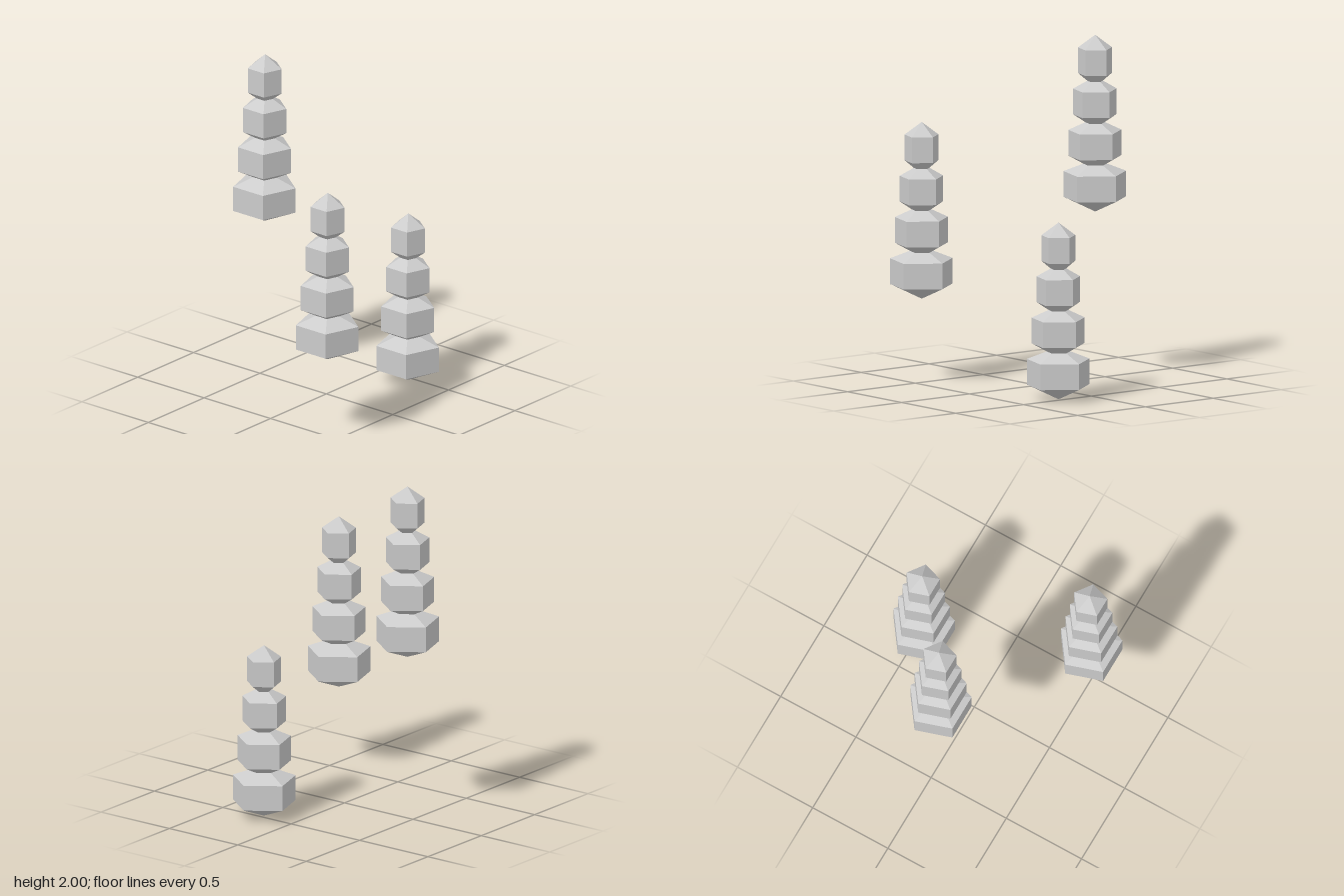
import * as THREE from 'three';

export function createModel() {
  const model = new THREE.Group();
  const stone = new THREE.MeshStandardMaterial({ color: 0xcccccc, flatShading: true });
  stone.name = 'paleGrey';

  const SIDES = 5, CAP = 0.078, WALL = 0.15, STEP = 0.242;
  const radii = [0.19, 0.161, 0.132, 0.103];

  // One tier: a five-sided prism with a point above and below, one corner facing +x
  const tierGeometries = radii.map((r) => {
    const profile = [[0, 0], [r, CAP], [r, CAP + WALL], [0, 2 * CAP + WALL]];
    return new THREE.LatheGeometry(
      profile.map(([x, y]) => new THREE.Vector2(x, y)), SIDES, Math.PI / 2);
  });

  // A spire stacks shrinking tiers whose points sink into each other
  function makeSpire(name, x, y, z) {
    const spire = new THREE.Group();
    spire.name = name;
    tierGeometries.forEach((geometry, i) => {
      const tier = new THREE.Mesh(geometry, stone);
      tier.name = `tier${i + 1}`;
      tier.position.y = i * STEP;
      spire.add(tier);
    });
    spire.position.set(x, y, z);
    model.add(spire);
  }

  makeSpire('lowSpire', 0.473, 0, 0.22);
  makeSpire('middleSpire', -0.513, 0.486, 0.442);
  makeSpire('highSpire', -0.02, 0.968, -0.444);

  return model;
}
